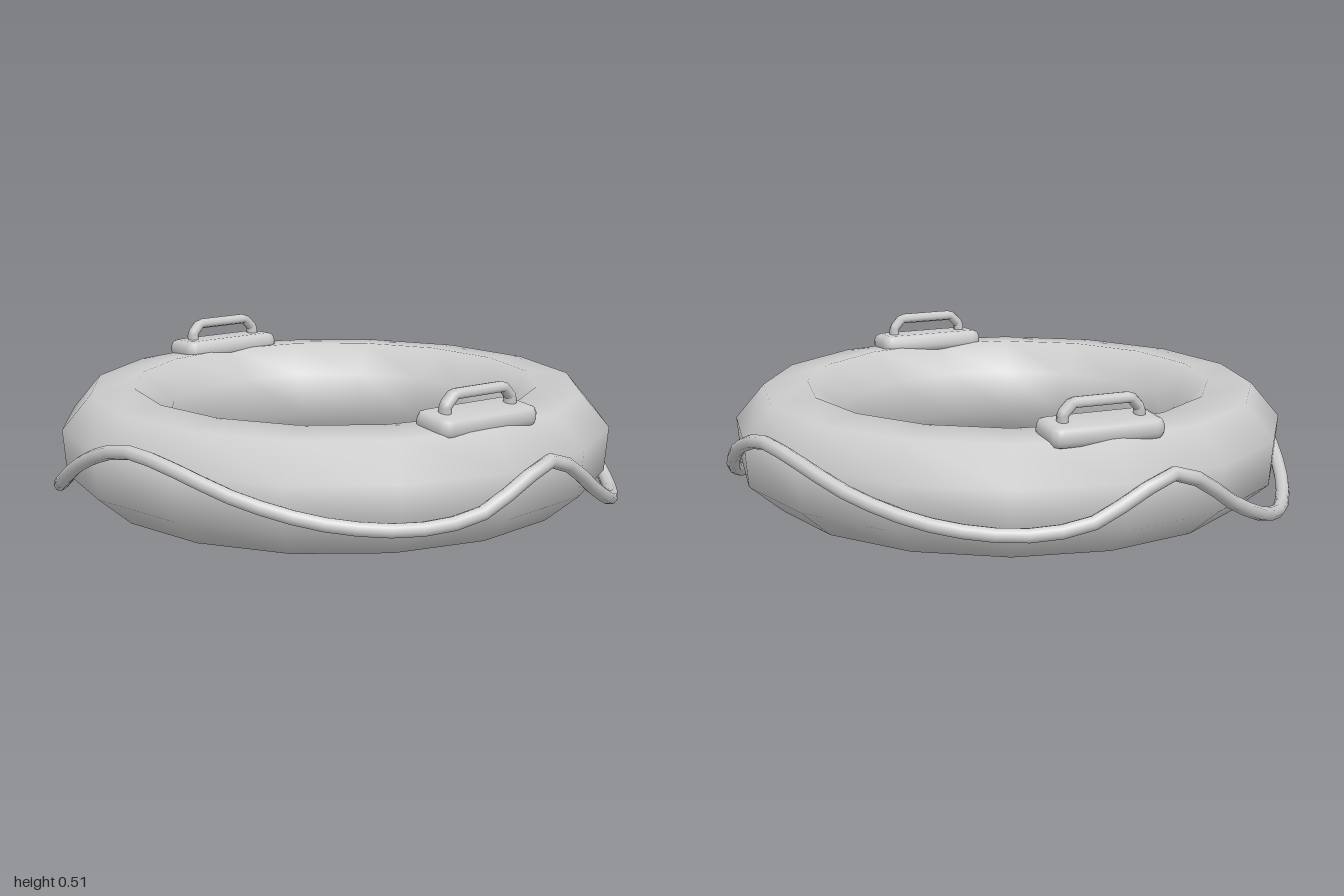
import * as THREE from 'three';
import { toCreasedNormals } from 'three/addons/utils/BufferGeometryUtils.js';

const RING_R = 0.757, TUBE_R = 0.2, RING_Y = 0.212;

// Swept octagon, slightly rolled, with normals pointing away from the tube's core
function ringGeometry() {
  const profile = [];
  for (let i = 0; i <= 8; i++) {
    const a = THREE.MathUtils.degToRad(-72.5 + i * 45);
    profile.push(new THREE.Vector2(RING_R + TUBE_R * Math.cos(a), RING_Y + TUBE_R * Math.sin(a)));
  }
  const geo = new THREE.LatheGeometry(profile, 16);
  const pos = geo.attributes.position;
  const p = new THREE.Vector3(), core = new THREE.Vector3();
  for (let i = 0; i < pos.count; i++) {
    p.fromBufferAttribute(pos, i);
    core.set(p.x, 0, p.z).setLength(RING_R).setY(RING_Y);
    p.sub(core).normalize();
    geo.attributes.normal.setXYZ(i, p.x, p.y, p.z);
  }
  return geo;
}

// Grab line: half a turn of [degrees from the front, height], repeated on the far side
function ropeGeometry() {
  const half = [
    [-82, 0.295], [-75, 0.25], [-67, 0.16], [-55, 0.07], [-42, 0.027], [-30, 0.05], [-18, 0.12], [-6, 0.22],
    [5, 0.295], [13, 0.32], [23, 0.295], [38, 0.22], [54, 0.16], [70, 0.14], [82, 0.17], [90, 0.24],
  ];
  const points = [];
  for (const turn of [0, 180]) {
    for (const [deg, y] of half) {
      const a = THREE.MathUtils.degToRad(deg + turn);
      const r = 0.952 + 0.025 * Math.sin(a) ** 2;
      points.push(new THREE.Vector3(r * Math.sin(a), y, r * Math.cos(a)));
    }
  }
  return new THREE.TubeGeometry(new THREE.CatmullRomCurve3(points, true), 64, 0.024, 8, true);
}

// Rounded, bevelled mounting pad lying flat
function padGeometry() {
  const w = 0.06, l = 0.17, r = 0.015;
  const s = new THREE.Shape();
  s.moveTo(-w + r, -l);
  s.lineTo(w - r, -l);
  s.quadraticCurveTo(w, -l, w, -l + r);
  s.lineTo(w, l - r);
  s.quadraticCurveTo(w, l, w - r, l);
  s.lineTo(-w + r, l);
  s.quadraticCurveTo(-w, l, -w, l - r);
  s.lineTo(-w, -l + r);
  s.quadraticCurveTo(-w, -l, -w + r, -l);
  const geo = new THREE.ExtrudeGeometry(s, {
    depth: 0.02, bevelThickness: 0.024, bevelSize: 0.024, bevelSegments: 2, curveSegments: 3,
  });
  geo.rotateX(-Math.PI / 2);
  return toCreasedNormals(geo, 0.8);
}

// Flattened bar with two chamfered corners
function barGeometry() {
  const path = new THREE.CatmullRomCurve3([
    [-0.132, 0], [-0.132, 0.045], [-0.1, 0.08], [0.1, 0.08], [0.132, 0.045], [0.132, 0],
  ].map(([z, y]) => new THREE.Vector3(0, y, z)), false, 'catmullrom', 0);
  const geo = new THREE.TubeGeometry(path, 30, 0.018, 8, false);
  geo.scale(1.4, 1, 1);
  return geo;
}

export function createModel() {
  const model = new THREE.Group();
  model.name = 'lifeRing';
  const grey = new THREE.MeshStandardMaterial({ color: 0xcccccc });
  grey.name = 'light grey';

  const add = (parent, name, geometry) => {
    const mesh = new THREE.Mesh(geometry, grey);
    mesh.name = name;
    parent.add(mesh);
    return mesh;
  };

  add(model, 'ring', ringGeometry());
  add(model, 'grabRope', ropeGeometry());

  // Carry handles on the top of the ring, one per side
  const pad = padGeometry(), bar = barGeometry();
  for (const side of [1, -1]) {
    const handle = new THREE.Group();
    handle.name = side > 0 ? 'leftHandle' : 'rightHandle';
    add(handle, 'handlePad', pad).position.y = 0.024;
    add(handle, 'handleBar', bar).position.y = 0.045;
    handle.position.set(side * 0.755 - 0.006, 0.373, -0.016);
    handle.rotation.z = -side * 0.07;
    model.add(handle);
  }
  return model;
}
